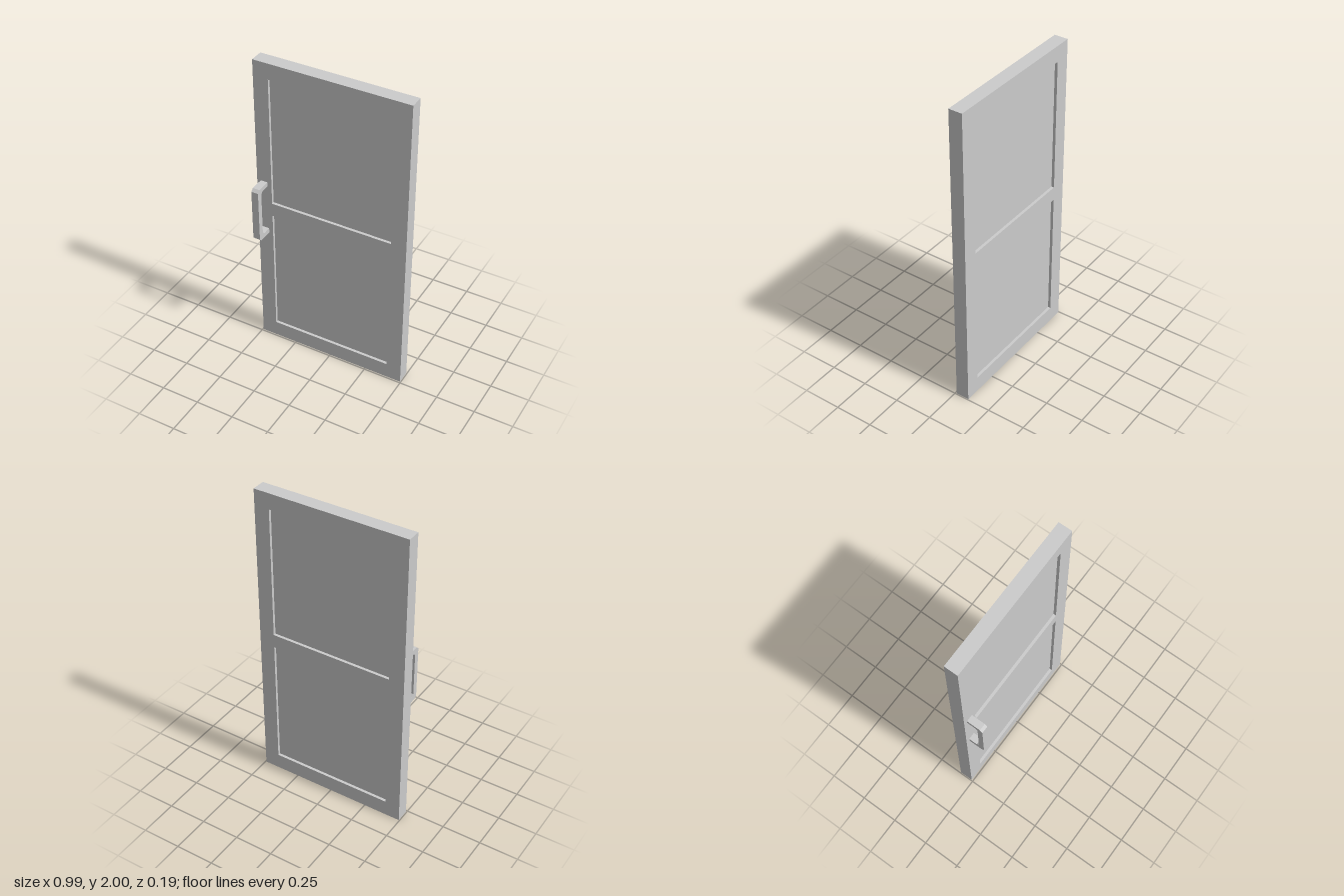
import * as THREE from 'three';

const material = new THREE.MeshStandardMaterial({ color: 0xcccccc, flatShading: true });

const DOOR = { halfWidth: 0.495, height: 2, back: -0.097, front: -0.01 };
const PANEL = { halfWidth: 0.397, recess: 0.018, spans: [[0.104, 0.956], [1.046, 1.898]] };

function rectangle(PathType, x0, y0, x1, y1) {
  return new PathType([[x0, y0], [x1, y0], [x1, y1], [x0, y1]].map(([x, y]) => new THREE.Vector2(x, y)));
}

function addMesh(parent, name, geometry) {
  const mesh = new THREE.Mesh(geometry, material);
  mesh.name = name;
  parent.add(mesh);
  return mesh;
}

export function createModel() {
  const model = new THREE.Group();
  model.name = 'door';

  // Frame: stiles and rails around two openings
  const outline = rectangle(THREE.Shape, -DOOR.halfWidth, 0, DOOR.halfWidth, DOOR.height);
  for (const [y0, y1] of PANEL.spans) {
    outline.holes.push(rectangle(THREE.Path, -PANEL.halfWidth, y0, PANEL.halfWidth, y1));
  }
  const depth = DOOR.front - DOOR.back;
  const frame = addMesh(model, 'frame', new THREE.ExtrudeGeometry(outline, { depth, bevelEnabled: false }));
  frame.position.z = DOOR.back;

  // Panels, recessed on both faces
  PANEL.spans.forEach(([y0, y1], i) => {
    const geometry = new THREE.BoxGeometry(PANEL.halfWidth * 2, y1 - y0, depth - 2 * PANEL.recess);
    const panel = addMesh(model, i === 0 ? 'lowerPanel' : 'upperPanel', geometry);
    panel.position.set(0, (y0 + y1) / 2, (DOOR.front + DOOR.back) / 2);
  });

  // Pull handle: chamfered bracket profile (z, y) extruded across its width
  const z = DOOR.front;
  const profile = new THREE.Shape([
    [z, 0.82], [0.08, 0.82], [0.097, 0.837], [0.097, 1.175], [0.08, 1.192], [z, 1.192],
    [z, 1.165], [0.046, 1.165], [0.062, 1.149], [0.062, 0.868], [0.046, 0.852], [z, 0.852],
  ].map(([pz, py]) => new THREE.Vector2(pz, py)));
  const handle = addMesh(model, 'handle', new THREE.ExtrudeGeometry(profile, { depth: 0.046, bevelEnabled: false }));
  handle.rotation.y = -Math.PI / 2;
  handle.position.x = -0.424;

  return model;
}
